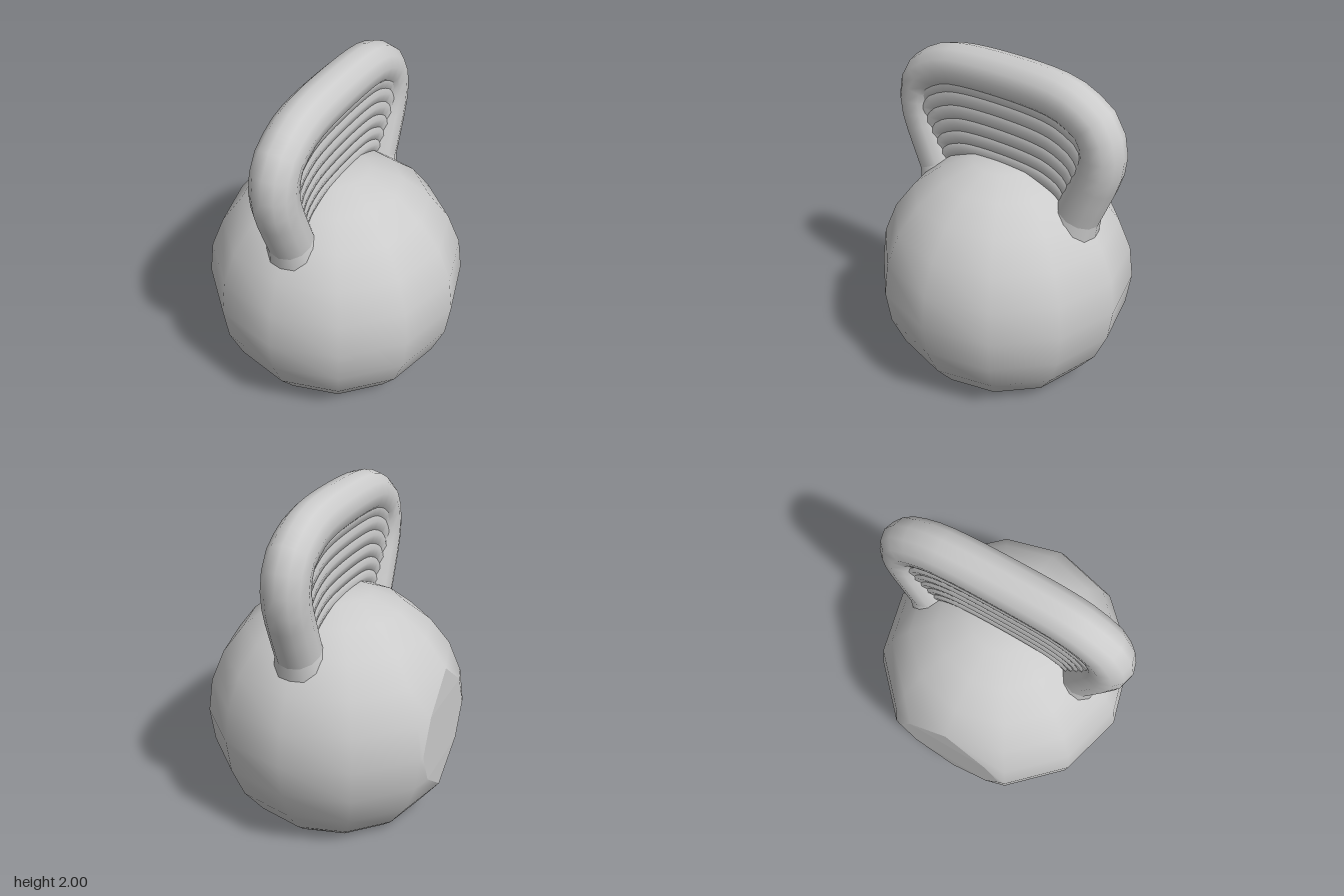
import * as THREE from 'three';
import { mergeVertices } from 'three/addons/utils/BufferGeometryUtils.js';

const CX = -0.05, CY = 0.612, R = 0.775, FLAT_X = -0.73;
const material = new THREE.MeshStandardMaterial({ color: 0xcccccc, side: THREE.DoubleSide });

function addMesh(parent, name, geometry) {
  const mesh = new THREE.Mesh(geometry, material);
  mesh.name = name;
  parent.add(mesh);
  return mesh;
}

// Twelve-sided ball, cut flat underneath and on one side
function addBall(parent) {
  const rows = [[0, 0], [Math.sqrt(R * R - CY * CY), 0]]; // radius, height
  for (let lat = -45; lat <= 75; lat += 15) {
    const a = THREE.MathUtils.degToRad(lat);
    rows.push([R * Math.cos(a), CY + R * Math.sin(a)]);
  }
  rows.push([0, 1.375]);

  const positions = [], bodyIndex = [], capIndex = [];
  for (const [r, y] of rows) {
    for (let k = 0; k < 12; k++) {
      const a = k * Math.PI / 6;
      if (k !== 6) {
        positions.push(CX + r * Math.cos(a), y, r * Math.sin(a));
        continue;
      }
      // the cut column becomes two rim points and one point between them
      const tip = CX - r, side = CX - r * Math.cos(Math.PI / 6);
      const t = tip < FLAT_X ? (FLAT_X - tip) / (side - tip) : 0;
      const x = Math.max(tip, FLAT_X), z = r * 0.5 * t;
      positions.push(x, y, z, x, y, 0, x, y, -z);
    }
  }
  const n = 14;
  for (let i = 0; i < rows.length - 1; i++) {
    for (let j = 0; j < n; j++) {
      const a = i * n + j, b = i * n + (j + 1) % n;
      const index = j === 6 || j === 7 ? capIndex : bodyIndex;
      index.push(a, a + n, b + n, a, b + n, b);
    }
  }
  const build = (index) => {
    const g = new THREE.BufferGeometry();
    g.setAttribute('position', new THREE.Float32BufferAttribute(positions, 3));
    g.setIndex(index);
    return g;
  };
  const body = mergeVertices(build(bodyIndex));
  body.computeVertexNormals();
  addMesh(parent, 'ball', body);
  const cap = build(capIndex).toNonIndexed();
  cap.computeVertexNormals();
  addMesh(parent, 'flatSide', cap);
}

// Half paths (z, y) from foot to top middle: outer grip and innermost ridge
const OUTER = [[0.44, 1.02], [0.5, 1.17], [0.57, 1.34], [0.628, 1.5], [0.635, 1.62],
  [0.59, 1.73], [0.51, 1.79], [0.38, 1.843], [0, 1.868]];
const INNER = [[0.42, 1.0], [0.44, 1.09], [0.455, 1.16], [0.455, 1.22], [0.44, 1.27],
  [0.4, 1.31], [0.34, 1.34], [0.25, 1.365], [0, 1.38]];

function arch(t) {
  const half = OUTER.map(([z, y], i) => new THREE.Vector3(CX,
    THREE.MathUtils.lerp(y, INNER[i][1], t), THREE.MathUtils.lerp(z, INNER[i][0], t)));
  const mirrored = half.slice(0, -1).reverse().map((p) => new THREE.Vector3(p.x, p.y, -p.z));
  return new THREE.CatmullRomCurve3([...half, ...mirrored], false, 'centripetal');
}

export function createModel() {
  const model = new THREE.Group();
  model.name = 'kettlebell';
  addBall(model);

  // Handle: round grip, filled with nested ridges that get thinner inward
  addMesh(model, 'handle', new THREE.TubeGeometry(arch(0), 32, 0.132, 12));
  const ridges = new THREE.Group();
  ridges.name = 'handleRidges';
  model.add(ridges);
  const count = 6;
  for (let k = 1; k <= count; k++) {
    addMesh(ridges, 'ridge', new THREE.TubeGeometry(arch(k / count), 32, 0.106 - 0.006 * k, 10));
  }

  // Flared feet where the handle meets the ball
  for (const s of [1, -1]) {
    const foot = addMesh(model, 'handleFoot',
      new THREE.CylinderGeometry(0.131, 0.155, 0.1, 12, 1, true));
    foot.position.set(CX, 1.15, s * 0.492);
    foot.rotation.x = s * 0.37;
  }
  return model;
}
